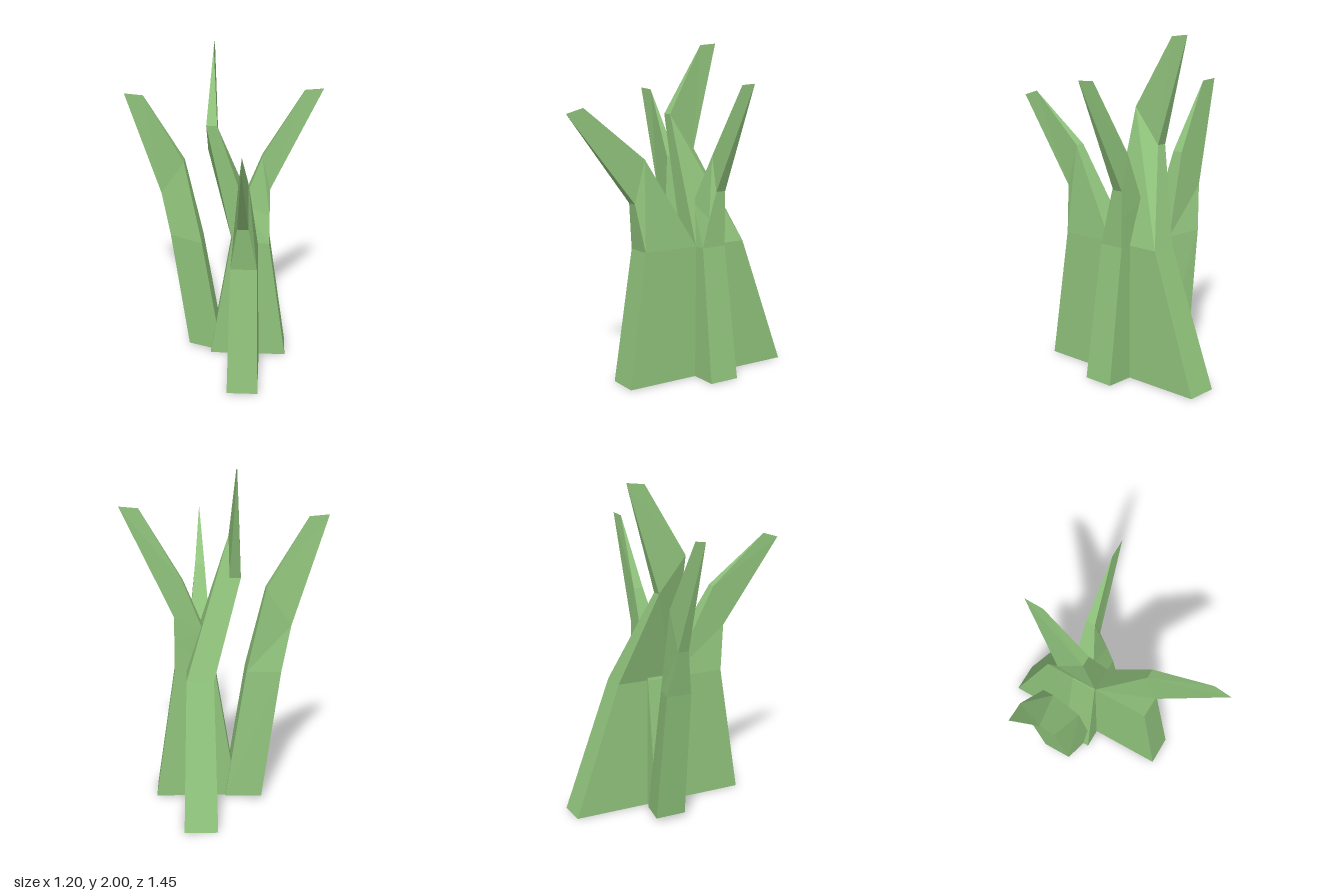
import * as THREE from 'three';

const leafMaterial = new THREE.MeshStandardMaterial({ color: 0x8fc27b, flatShading: true });

// A section is [outer, inner]; each end is [u, y, w0, w1]:
// u runs along the blade's lean axis, w0..w1 is its thickness across.
function makeBlade(name, axis, sections) {
  const rings = sections.map(([o, i]) =>
    [[o, 2], [o, 3], [i, 3], [i, 2]].map(([e, k]) =>
      axis === 'x' ? new THREE.Vector3(e[0], e[1], e[k]) : new THREE.Vector3(e[k], e[1], e[0])));

  const tris = [];
  const quad = (a, b, c, d) => tris.push([a, b, c], [a, c, d]);
  for (let s = 0; s < rings.length - 1; s++) {
    for (let k = 0; k < 4; k++) {
      const n = (k + 1) % 4;
      quad(rings[s][k], rings[s][n], rings[s + 1][n], rings[s + 1][k]);
    }
  }
  const foot = rings[0], tip = rings[rings.length - 1];
  quad(foot[3], foot[2], foot[1], foot[0]);
  quad(tip[0], tip[1], tip[2], tip[3]);

  // Turn all faces outward by the sign of the enclosed volume
  const cross = new THREE.Vector3();
  const volume = tris.reduce((v, [a, b, c]) => v + a.dot(cross.crossVectors(b, c)), 0);
  const points = tris.flatMap(([a, b, c]) => (volume < 0 ? [a, c, b] : [a, b, c]));

  const geometry = new THREE.BufferGeometry().setFromPoints(points);
  geometry.computeVertexNormals();
  const mesh = new THREE.Mesh(geometry, leafMaterial);
  mesh.name = name;
  return mesh;
}

export function createModel() {
  const group = new THREE.Group();
  group.name = 'grassTuft';

  // Front blade, leaning towards +z
  group.add(makeBlade('frontBlade', 'z', [
    [[0.385, 0, 0.05, 0.24], [-0.07, 0, 0.05, 0.24]],
    [[0.27, 0.8, 0.065, 0.222], [-0.085, 0.8, 0.065, 0.222]],
    [[0.31, 1.08, 0.105, 0.17], [0.24, 1.335, 0.108, 0.167]],
    [[0.727, 1.61, 0.137, 0.137], [0.62, 1.64, 0.137, 0.137]],
  ]));

  // Back blade, the tallest, twisting over to -x
  group.add(makeBlade('backBlade', 'z', [
    [[-0.727, 0, 0.05, 0.24], [-0.07, 0, 0.05, 0.24]],
    [[-0.435, 0.8, 0.065, 0.222], [-0.085, 0.8, 0.065, 0.222]],
    [[-0.24, 1.36, -0.095, -0.03], [-0.065, 1.575, -0.095, -0.03]],
    [[-0.423, 2, -0.063, -0.063], [-0.31, 1.99, -0.063, -0.063]],
  ]));

  // Left blade, leaning towards +x
  group.add(makeBlade('leftBlade', 'x', [
    [[0.41, 0, -0.26, -0.07], [-0.075, 0, -0.26, -0.07]],
    [[0.292, 0.8, -0.245, -0.085], [0.055, 0.8, -0.245, -0.085]],
    [[0.292, 0.97, -0.245, -0.13], [0.125, 1.05, -0.25, -0.13]],
    [[0.292, 1.13, -0.245, -0.18], [0.24, 1.34, -0.245, -0.185]],
    [[0.597, 1.77, -0.213, -0.213], [0.485, 1.76, -0.213, -0.213]],
  ]));

  // Right blade, a separate shoot leaning towards -x
  group.add(makeBlade('rightBlade', 'x', [
    [[-0.22, 0.025, -0.33, -0.14], [-0.005, 0.005, -0.28, -0.09]],
    [[-0.33, 0.81, -0.312, -0.155], [-0.13, 0.79, -0.25, -0.092]],
    [[-0.388, 1.08, -0.27, -0.203], [-0.242, 1.295, -0.248, -0.183]],
    [[-0.6, 1.72, -0.215, -0.215], [-0.485, 1.71, -0.215, -0.215]],
  ]));

  return group;
}
